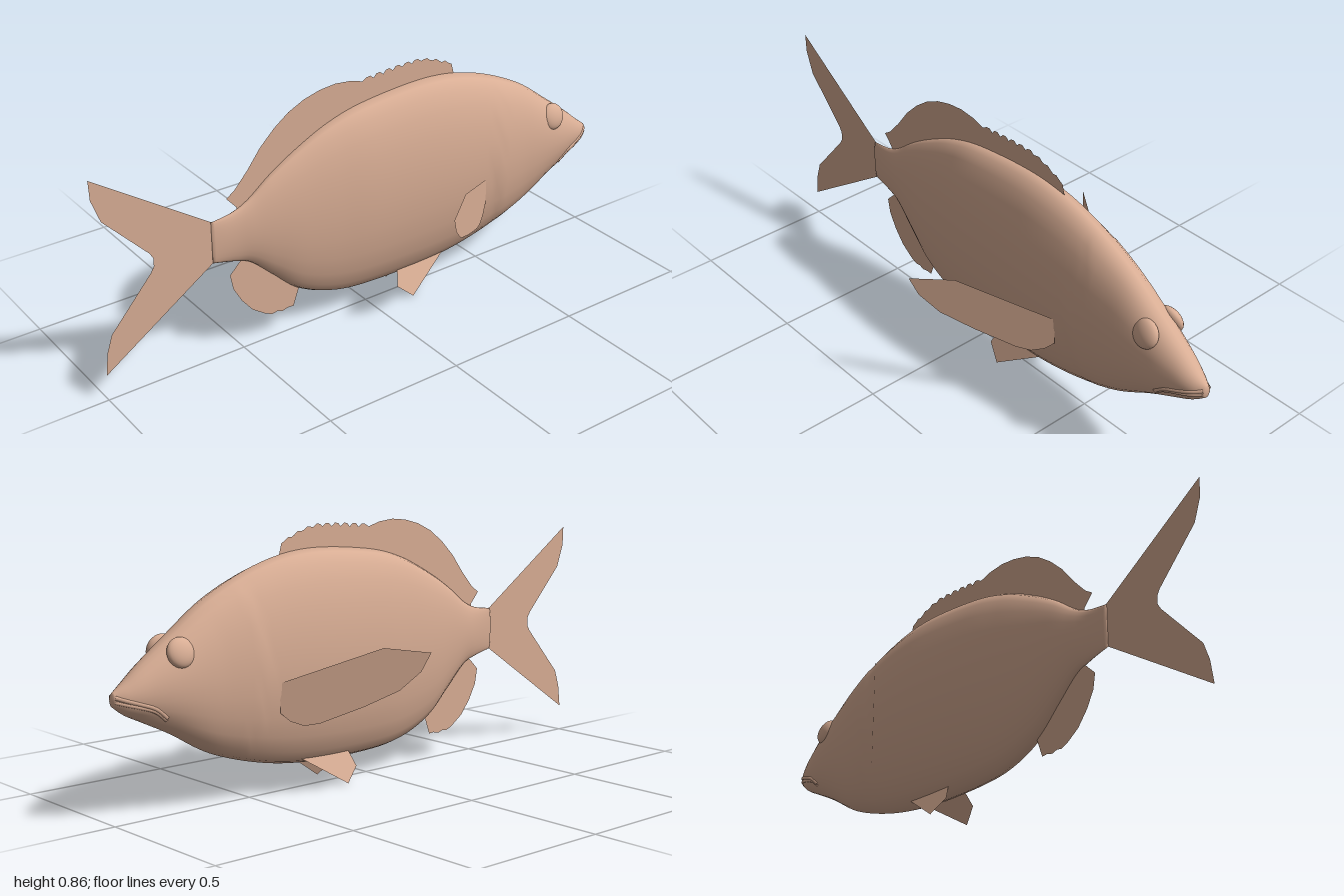
import * as THREE from 'three';

const skin = new THREE.MeshStandardMaterial({ color: 0xd8ad94, side: THREE.DoubleSide });
skin.name = 'tan skin';

// Body stations from snout to tail root: z, top, bottom, half width
const stations = [
  [-1.0, 0.405, 0.365, 0.012], [-0.96, 0.435, 0.335, 0.037], [-0.9, 0.485, 0.305, 0.057],
  [-0.8, 0.56, 0.255, 0.078], [-0.65, 0.665, 0.17, 0.093], [-0.45, 0.75, 0.108, 0.106],
  [-0.25, 0.783, 0.08, 0.109], [0, 0.766, 0.078, 0.098], [0.15, 0.73, 0.098, 0.082],
  [0.28, 0.67, 0.155, 0.064], [0.38, 0.61, 0.245, 0.046], [0.46, 0.55, 0.318, 0.03],
  [0.52, 0.522, 0.342, 0.018], [0.6, 0.51, 0.362, 0.007],
];
const heights = new THREE.CatmullRomCurve3(
  stations.map(s => new THREE.Vector3(s[0], s[1], s[2])), false, 'catmullrom', 0.5);
const widths = new THREE.CatmullRomCurve3(
  stations.map(s => new THREE.Vector3(s[0], s[3], 0)), false, 'catmullrom', 0.5);

function section(u) {
  const p = heights.getPoint(u);
  return { z: p.x, mid: (p.y + p.z) / 2, half: (p.y - p.z) / 2, width: widths.getPoint(u).y };
}

// Half width of the body at a given z and y
function skinX(z, y) {
  let a = 0, b = 1;
  for (let i = 0; i < 30; i++) {
    const m = (a + b) / 2;
    if (heights.getPoint(m).x < z) a = m; else b = m;
  }
  const s = section(a), k = (y - s.mid) / s.half;
  return s.width * Math.sqrt(Math.max(0, 1 - k * k));
}

// Lofted body; the gill cover is a slight bulge that ends in a curved step
function makeBody() {
  const rows = 104, cols = 24, pos = [], index = [];
  for (let i = -1; i <= rows + 1; i++) {
    const s = section(THREE.MathUtils.clamp(i / rows, 0, 1));
    const k = i < 0 || i > rows ? 0 : 1;
    for (let j = 0; j < cols; j++) {
      const a = (j / cols) * Math.PI * 2;
      const edge = -0.6 + 0.1 * Math.abs(Math.sin(a));
      const d = edge - s.z;
      const bulge = d > 0 && d < 0.14 ? 0.006 * (1 - d / 0.14) : 0;
      const w = s.width + bulge;
      pos.push(k * w * Math.sin(a), s.mid + k * s.half * Math.cos(a), s.z);
    }
  }
  for (let i = 0; i < rows + 2; i++) {
    for (let j = 0; j < cols; j++) {
      const n = (j + 1) % cols;
      const a = i * cols + j, b = i * cols + n, c = a + cols, d = b + cols;
      index.push(a, c, b, b, c, d);
    }
  }
  const g = new THREE.BufferGeometry();
  g.setAttribute('position', new THREE.Float32BufferAttribute(pos, 3));
  g.setIndex(index);
  g.computeVertexNormals();
  return g;
}

// Thin fin from a (z, y) outline, with x given by a rule
function makeFin(points, xOf = () => 0) {
  const g = new THREE.ShapeGeometry(new THREE.Shape(points.map(p => new THREE.Vector2(p[0], p[1]))));
  const p = g.attributes.position;
  for (let i = 0; i < p.count; i++) {
    const z = p.getX(i), y = p.getY(i);
    p.setXYZ(i, xOf(z, y), y, z);
  }
  g.computeVertexNormals();
  return g;
}

export function createModel() {
  const fish = new THREE.Group();
  fish.name = 'fish';
  const add = (name, geometry) => {
    const m = new THREE.Mesh(geometry, skin);
    m.name = name;
    fish.add(m);
    return m;
  };

  add('body', makeBody());

  // Dorsal fin: rounded rear lobe, then a scalloped spiny front
  const dorsal = [
    [0.5, 0.5], [0.505, 0.535], [0.54, 0.575], [0.51, 0.595], [0.46, 0.65], [0.41, 0.715],
    [0.355, 0.768], [0.3, 0.808], [0.24, 0.836], [0.18, 0.852], [0.12, 0.858], [0.06, 0.852],
    [0.012, 0.838],
  ];
  const spines = 9;
  for (let i = 0; i < spines; i++) {
    const z = -0.005 - i * 0.039;
    const y = 0.848 + 0.01 * Math.sin((i / spines) * Math.PI) - 0.045 * Math.max(0, (i - 5) / 4) ** 1.5;
    dorsal.push([z, y], [z - 0.014, y + 0.002], [z - 0.028, y - 0.009]);
  }
  dorsal.push([-0.36, 0.805], [-0.375, 0.75], [-0.2, 0.74], [0, 0.7], [0.25, 0.62]);
  add('dorsalFin', makeFin(dorsal));

  // Forked tail
  add('tailFin', makeFin([
    [0.58, 0.505], [0.6, 0.512], [1, 0.782], [0.998, 0.715], [0.97, 0.635], [0.82, 0.475], [0.808, 0.455],
    [0.808, 0.425], [0.82, 0.405], [0.97, 0.235], [0.99, 0.175], [1, 0.095], [0.6, 0.362], [0.58, 0.37],
  ]));

  // Anal fin
  add('analFin', makeFin([
    [0.47, 0.36], [0.505, 0.33], [0.54, 0.295], [0.53, 0.24], [0.5, 0.185], [0.46, 0.135],
    [0.41, 0.1], [0.385, 0.09], [0.365, 0.093], [0.345, 0.086], [0.32, 0.092], [0.3, 0.09],
    [0.28, 0.145], [0.26, 0.2], [0.36, 0.28],
  ]));

  // Paired parts on both sides
  for (const [side, s] of [['left', 1], ['right', -1]]) {
    add(side + 'PectoralFin', makeFin([
      [-0.07, 0.47], [-0.19, 0.487], [-0.45, 0.38], [-0.45, 0.285], [-0.425, 0.258], [-0.39, 0.243],
      [-0.35, 0.25], [-0.24, 0.3], [-0.15, 0.35], [-0.095, 0.41],
    ], z => s * (0.1 + 0.75 * (z + 0.45))));

    add(side + 'PelvicFin', makeFin([
      [-0.32, 0.11], [-0.15, 0.003], [-0.095, 0.05], [-0.115, 0.112], [-0.2, 0.13],
    ], (z, y) => s * (0.081 - 0.45 * y)));

    // Eye: a low dome on the cheek
    const eye = add(side + 'Eye', new THREE.SphereGeometry(0.048, 24, 16));
    eye.scale.x = 0.5;
    eye.position.set(s * (skinX(-0.79, 0.51) - 0.006), 0.51, -0.79);
    eye.rotation.z = s * 0.3;

    // Lips: two slim ridges following the skin, with the mouth line between
    for (const [name, dy, r] of [['UpperLip', 0.006, 0.007], ['LowerLip', -0.008, 0.006]]) {
      const path = [[-0.994, 0.387], [-0.965, 0.377], [-0.93, 0.366], [-0.88, 0.347], [-0.84, 0.315]]
        .map(([z, y], i) => {
          const ly = y + dy * (1 - i * 0.12);
          return new THREE.Vector3(s * (skinX(z, ly) - 0.003), ly, z);
        });
      add(side + name, new THREE.TubeGeometry(new THREE.CatmullRomCurve3(path), 20, r, 8));
    }
  }
  return fish;
}
